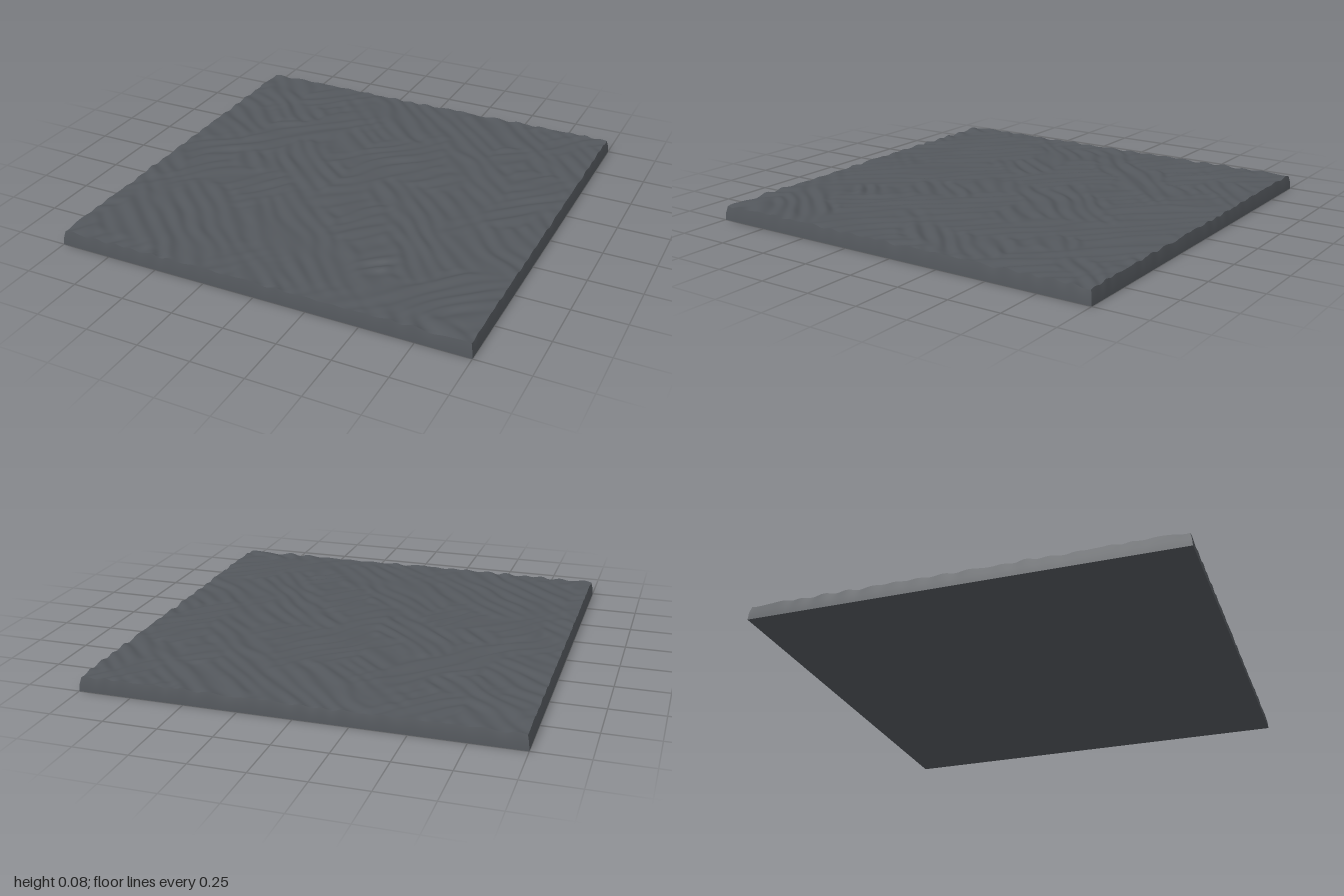
import * as THREE from 'three';

// Seeded lattice value in 0..1
function hash(i, j, seed) {
  let n = Math.imul(i, 374761393) + Math.imul(j, 668265263) + Math.imul(seed, 974634777);
  n = Math.imul(n ^ (n >>> 13), 1274126177);
  return ((n ^ (n >>> 16)) >>> 0) / 4294967295;
}

// Smooth value noise in -1..1
function noise(x, y, seed) {
  const i = Math.floor(x), j = Math.floor(y);
  const fx = THREE.MathUtils.smoothstep(x - i, 0, 1);
  const fy = THREE.MathUtils.smoothstep(y - j, 0, 1);
  const a = THREE.MathUtils.lerp(hash(i, j, seed), hash(i + 1, j, seed), fx);
  const b = THREE.MathUtils.lerp(hash(i, j + 1, seed), hash(i + 1, j + 1, seed), fx);
  return THREE.MathUtils.lerp(a, b, fy) * 2 - 1;
}

// Wavy furrows lying along one diagonal: narrow across, long along
function furrows(across, along, seed) {
  const bend = 0.025 * noise(across * 5, along * 5, seed);
  const wave = Math.sin((across + bend) * Math.PI * 2 / 0.085 + 2.5 * noise(across * 6, along * 3, seed + 1));
  return 0.55 * wave + 0.65 * noise((across + bend) / 0.04, along / 0.16, seed + 2);
}

// Surface height: patches of both diagonals interlocking
function height(x, z) {
  const u = (x - z) * Math.SQRT1_2, v = (x + z) * Math.SQRT1_2;
  const patch = THREE.MathUtils.smoothstep(noise(x * 5 + 9, z * 5, 21) + 0.15, -0.3, 0.3);
  const ridge = THREE.MathUtils.lerp(furrows(v, u, 3), furrows(u, v, 11), patch);
  const swell = 0.002 * noise(x * 3, z * 3, 31);
  return THREE.MathUtils.clamp(0.0685 + swell + 0.0075 * ridge, 0.055, 0.081);
}

export function createModel() {
  const model = new THREE.Group();
  model.name = 'groundTile';
  const slate = new THREE.MeshStandardMaterial({ color: 0x53575c });
  slate.name = 'slate grey';

  // Square slab whose upper vertices follow the furrowed relief
  const geometry = new THREE.BoxGeometry(2, 0.07, 2, 150, 2, 150);
  const pos = geometry.attributes.position;
  for (let i = 0; i < pos.count; i++) {
    const x = pos.getX(i), z = pos.getZ(i);
    const t = (pos.getY(i) + 0.035) / 0.07;
    // The rim leans in slightly near the top
    const inset = 1 - 0.01 * t * t;
    pos.setXYZ(i, x * inset, t * height(x, z), z * inset);
  }
  geometry.computeVertexNormals();

  const slab = new THREE.Mesh(geometry, slate);
  slab.name = 'furrowedSlab';
  model.add(slab);
  return model;
}
